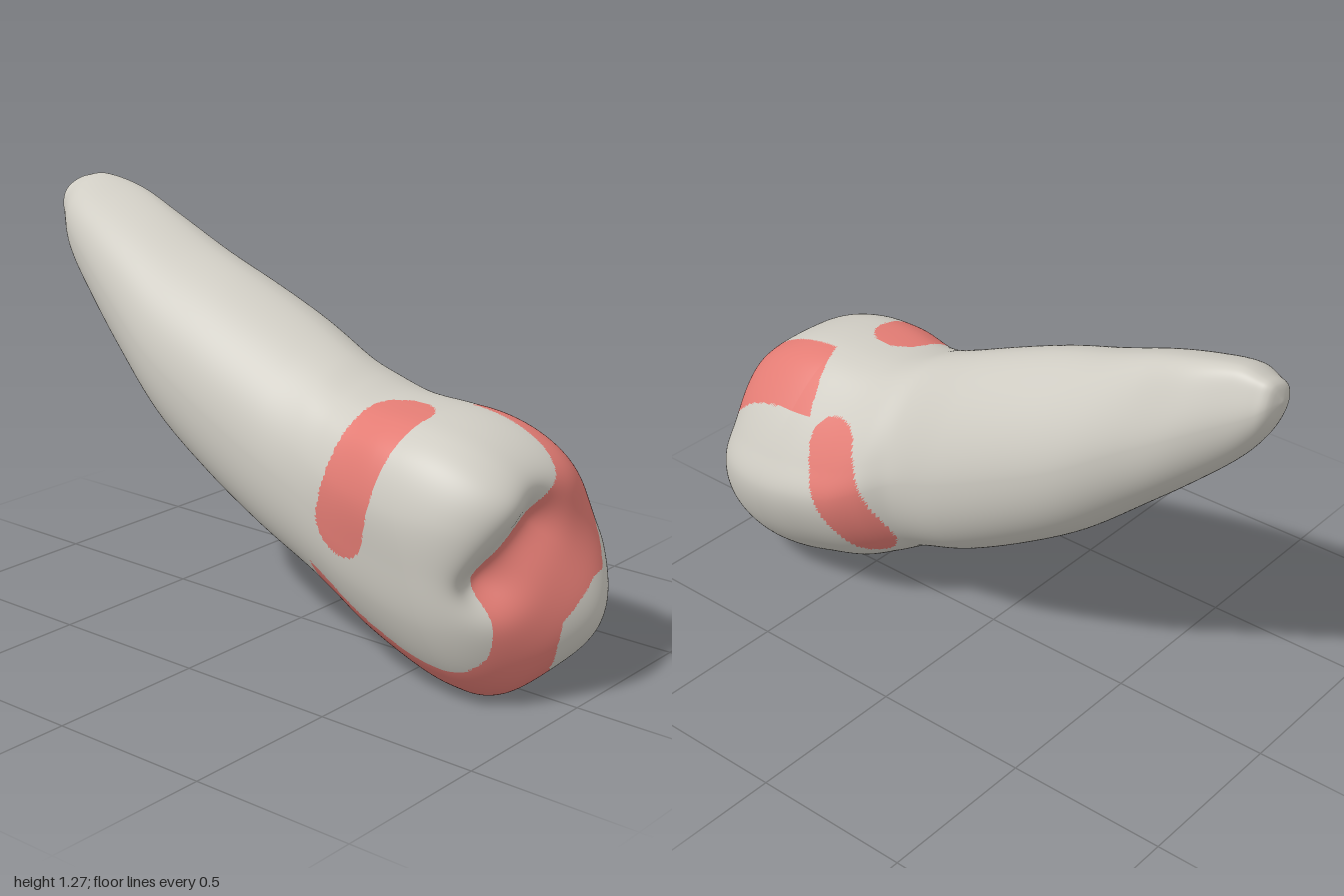
import * as THREE from 'three';
import { mergeVertices } from 'three/addons/utils/BufferGeometryUtils.js';

const enamel = new THREE.MeshStandardMaterial({ color: 0xcfccc3 });
enamel.name = 'ivory enamel';
const marking = new THREE.MeshStandardMaterial({ color: 0xe37c74 });
marking.name = 'coral marking';

// Extents along the tooth: z, top y, bottom y, min x, max x
const EXTENTS = [
  [-1, 1.19, 1.19, 0.045, 0.045], [-0.985, 1.235, 1.13, -0.01, 0.095],
  [-0.95, 1.253, 1.06, -0.045, 0.12], [-0.88, 1.265, 0.97, -0.1, 0.145],
  [-0.75, 1.24, 0.845, -0.155, 0.185], [-0.6, 1.19, 0.71, -0.205, 0.2],
  [-0.4, 1.11, 0.54, -0.26, 0.24], [-0.2, 1.04, 0.41, -0.285, 0.26],
  [0, 0.96, 0.3, -0.295, 0.265], [0.2, 0.87, 0.21, -0.3, 0.25],
  [0.3, 0.825, 0.15, -0.31, 0.295], [0.4, 0.795, 0.09, -0.325, 0.33],
  [0.55, 0.79, 0.035, -0.35, 0.35], [0.66, 0.785, 0.005, -0.355, 0.35],
  [0.8, 0.78, -0.005, -0.355, 0.35],
];

// Crown outline facing the front
const CROWN = [
  [-0.08, 0], [0.05, 0.03], [0.2, 0.1], [0.31, 0.24], [0.35, 0.39], [0.31, 0.5],
  [0.23, 0.64], [0.13, 0.75], [0.04, 0.785], [-0.12, 0.79], [-0.22, 0.77],
  [-0.3, 0.71], [-0.35, 0.57], [-0.34, 0.4], [-0.31, 0.25], [-0.24, 0.11], [-0.16, 0.03],
];

// Marking over the biting face, in x and y
const BITE = [
  [0.045, 0.82], [0.035, 0.71], [0.01, 0.65], [-0.03, 0.61], [-0.13, 0.53], [-0.23, 0.4],
  [-0.22, 0.3], [-0.22, 0.18], [-0.25, 0.1], [-0.25, -0.02], [0, -0.02], [0.02, 0.06],
  [-0.02, 0.1], [-0.035, 0.18], [-0.03, 0.25], [0.03, 0.31], [0.09, 0.355], [0.15, 0.36],
  [0.19, 0.43], [0.23, 0.56], [0.235, 0.63], [0.21, 0.82],
];

// Smooth interpolation through the extents table
function extentsAt(z) {
  const last = EXTENTS.length - 1;
  let i = 0;
  while (i < last - 1 && z > EXTENTS[i + 1][0]) i++;
  const row = (n) => EXTENTS[Math.min(last, Math.max(0, n))];
  const a = row(i), b = row(i + 1), p = row(i - 1), q = row(i + 2);
  const h = b[0] - a[0], t = (z - a[0]) / h;
  return [1, 2, 3, 4].map((k) => {
    const ma = (b[k] - p[k]) / (b[0] - p[0]) * h;
    const mb = (q[k] - a[k]) / (q[0] - a[0]) * h;
    const t2 = t * t, t3 = t2 * t;
    return (2 * t3 - 3 * t2 + 1) * a[k] + (t3 - 2 * t2 + t) * ma
      + (3 * t2 - 2 * t3) * b[k] + (t3 - t2) * mb;
  });
}

function segmentDistance(px, py, ax, ay, bx, by) {
  const dx = bx - ax, dy = by - ay;
  const t = THREE.MathUtils.clamp(((px - ax) * dx + (py - ay) * dy) / (dx * dx + dy * dy), 0, 1);
  return Math.hypot(px - ax - dx * t, py - ay - dy * t);
}

const bump = (x, y, cx, cy, rx, ry) => Math.exp(-(((x - cx) / rx) ** 2) - ((y - cy) / ry) ** 2);

// Biting face: a lower cusp, an upper ridge and a short groove with a pit
function biteHeight(x, y) {
  const groove = segmentDistance(x, y, -0.25, 0.38, -0.08, 0.54);
  return 0.87 + 0.13 * bump(x, y, 0.1, 0.25, 0.22, 0.25)
    + 0.045 * Math.exp(-(((y - 0.65) / 0.13) ** 2))
    + 0.02 * bump(x, y, -0.22, 0.6, 0.1, 0.1)
    - 0.05 * Math.exp(-((groove / 0.08) ** 2))
    - 0.04 * bump(x, y, -0.2, 0.38, 0.07, 0.07);
}

function insidePolygon(x, y, poly) {
  let inside = false;
  poly.forEach(([ax, ay], i) => {
    const [bx, by] = poly[(i + 1) % poly.length];
    if ((ay > y) !== (by > y) && x < ax + (bx - ax) * (y - ay) / (by - ay)) inside = !inside;
  });
  return inside;
}

// Biting face and underside, then one patch on each flank of the neck
function isMarked(x, y, z) {
  if (z < 0.15) return false;
  const back = y < 0.35 ? 0.25 : 0.61 - 0.32 * x;
  const shift = y < 0.35 ? 0.06 * Math.max(0, 0.8 - z) : 0;
  if (z > back && insidePolygon(x + shift, y, BITE)) return true;
  const right = segmentDistance(z, y, 0.42, 0.6, 0.27, 0.26);
  if (x > 0 && Math.hypot(right, Math.max(0, 0.25 - x)) < 0.082) return true;
  const left = segmentDistance(z, y, 0.5, 0.85, 0.41, 0.485);
  return x < 0 && Math.hypot(left, Math.max(0, x + 0.155)) < 0.097;
}

function buildTooth() {
  const AROUND = 240, BODY = 180, CAP = 100;
  const curve = new THREE.CatmullRomCurve3(
    CROWN.map(([x, y]) => new THREE.Vector3(x / 0.35, (y - 0.395) / 0.395, 0)), true);
  const outline = [];
  for (let j = 0; j < AROUND; j++) {
    const p = curve.getPoint(j / AROUND);
    const angle = Math.atan2(p.y, p.x);
    const c = Math.cos(angle), s = Math.sin(angle);
    // The root section is narrower above and fuller below
    const power = s > 0 ? 2 / 1.85 : 2 / 2.2;
    outline.push({
      cx: p.x, cy: p.y,
      rx: Math.sign(c) * Math.abs(c) ** power, ry: Math.sign(s) * Math.abs(s) ** power,
      lean: Math.max(0, s) ** 2 * (1 - c * c),
    });
  }
  const sectionPoint = (o, z) => {
    const [top, bottom, left, right] = extentsAt(z);
    const k = THREE.MathUtils.smoothstep(z, 0.08, 0.52);
    // The top of the root leans sideways towards the tip
    const lean = o.lean * (0.08 + 0.3 * THREE.MathUtils.smoothstep(-z, 0.2, 0.9));
    const nx = THREE.MathUtils.lerp(o.rx + lean, o.cx, k), ny = THREE.MathUtils.lerp(o.ry, o.cy, k);
    return [(left + right) / 2 + nx * (right - left) / 2, (top + bottom) / 2 + ny * (top - bottom) / 2];
  };

  const pos = [];
  // Root and crown walls
  for (let i = 0; i <= BODY; i++) {
    for (const o of outline) {
      const rim = 0.66 - 0.08 * o.cy;
      const z = -1 + (rim + 1) * Math.sin(i / BODY * Math.PI / 2) ** 1.4;
      pos.push(...sectionPoint(o, z), z);
    }
  }
  // Rounded shoulder and biting face, squarer towards the bottom
  for (let i = 1; i <= CAP; i++) {
    const s = 1 - (i / CAP) ** 2;
    for (const o of outline) {
      const rim = 0.66 - 0.08 * o.cy;
      const [rx, ry] = sectionPoint(o, rim);
      const x = rx * s, y = 0.39 + (ry - 0.39) * s;
      const z0 = THREE.MathUtils.lerp(0.66, rim, s);
      pos.push(x, y, z0 + (biteHeight(x, y) - z0) * Math.sqrt(1 - s ** (5.3 - 0.9 * o.cy)));
    }
  }

  const plain = [], marked = [];
  const addFace = (...f) => {
    const mid = [0, 1, 2].map((k) => (pos[f[0] * 3 + k] + pos[f[1] * 3 + k] + pos[f[2] * 3 + k]) / 3);
    (isMarked(...mid) ? marked : plain).push(...f);
  };
  for (let i = 0; i < BODY + CAP; i++) {
    for (let j = 0; j < AROUND; j++) {
      const a = i * AROUND + j, b = i * AROUND + (j + 1) % AROUND;
      const c = a + AROUND, d = b + AROUND;
      if (i > 0) addFace(a, b, c);
      else addFace(a, d, c);
      if (i > 0 && i < BODY + CAP - 1) addFace(b, d, c);
    }
  }

  let geometry = new THREE.BufferGeometry();
  geometry.setAttribute('position', new THREE.Float32BufferAttribute(pos, 3));
  geometry.setIndex([...plain, ...marked]);
  geometry = mergeVertices(geometry, 1e-5);
  geometry.computeVertexNormals();
  geometry.addGroup(0, plain.length, 0);
  geometry.addGroup(plain.length, marked.length, 1);
  return geometry;
}

export function createModel() {
  const group = new THREE.Group();
  group.name = 'tooth';
  const tooth = new THREE.Mesh(buildTooth(), [enamel, marking]);
  tooth.name = 'crownAndRoot';
  group.add(tooth);
  return group;
}
